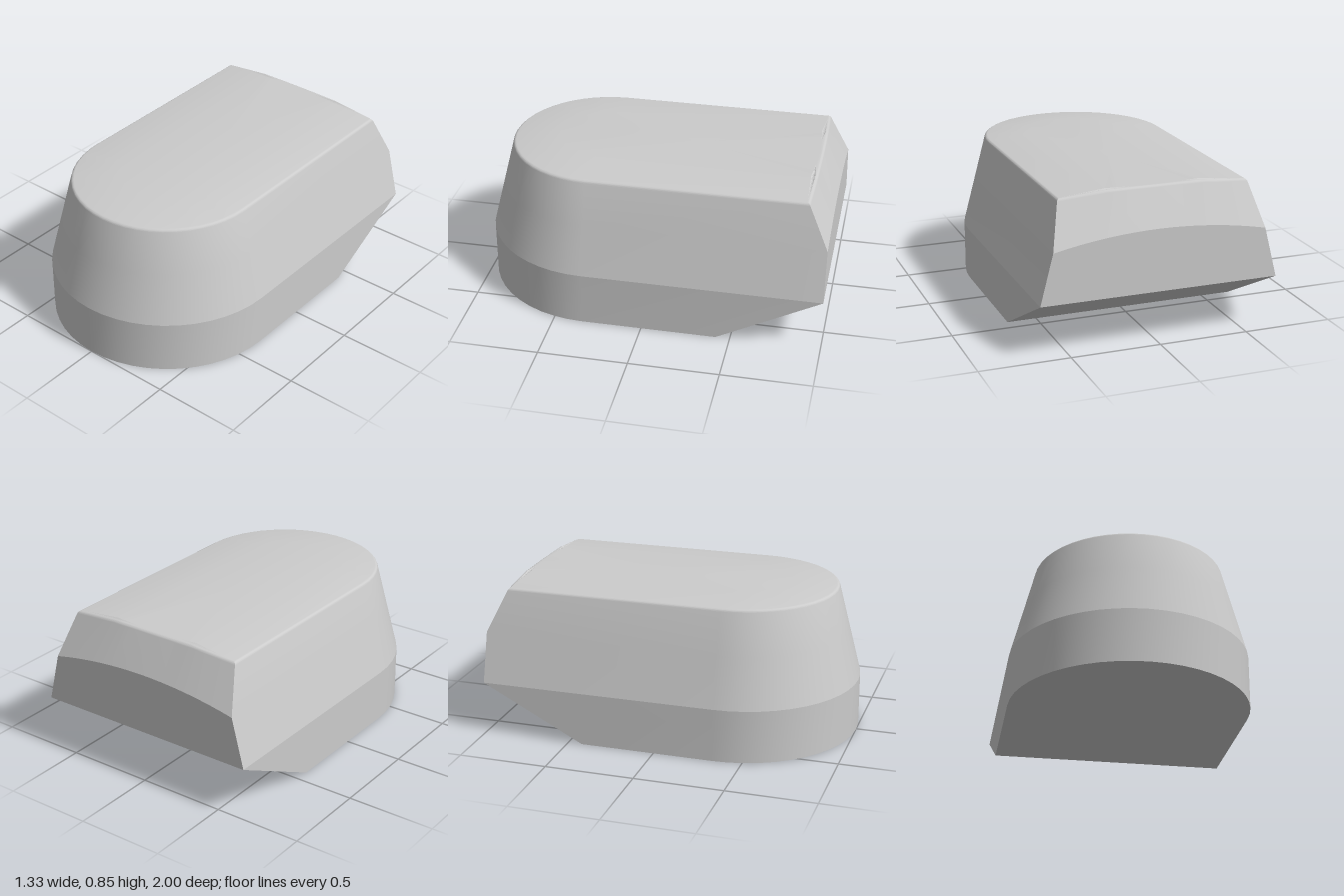
import * as THREE from 'three';
import { toCreasedNormals } from 'three/addons/utils/BufferGeometryUtils.js';

const ARC = 24;      // segments round the nose
const BACK = 16;     // segments across the back edge
const NOSE_Z = 0.335; // centre of the rounded nose

// U-shaped outline: half-round nose, straight sides, crowned back edge.
// rise(t) and push(t) lift and shift the back edge, t running -1..1 across it.
function outline({ w, y, back, rise = () => 0, push = () => 0 }) {
  const pts = [];
  for (let i = 0; i <= ARC; i++) {
    const a = (Math.PI * i) / ARC;
    pts.push([w * Math.cos(a), y, NOSE_Z + w * Math.sin(a)]);
  }
  for (let i = 0; i <= BACK; i++) {
    const t = -1 + (2 * i) / BACK;
    pts.push([w * t, y + rise(t), back - push(t)]);
  }
  return pts;
}

// Skin consecutive rings and close both ends with a fan
function loft(rings, bottomCentre, topCentre) {
  const pos = [];
  const tri = (a, b, c) => pos.push(...a, ...b, ...c);
  const n = rings[0].length;
  const last = rings[rings.length - 1];
  for (let i = 0; i < n; i++) {
    const j = (i + 1) % n;
    for (let r = 0; r < rings.length - 1; r++) {
      const [lo, hi] = [rings[r], rings[r + 1]];
      tri(lo[i], hi[i], lo[j]);
      tri(lo[j], hi[i], hi[j]);
    }
    tri(bottomCentre, rings[0][i], rings[0][j]);
    tri(topCentre, last[j], last[i]);
  }
  const geo = new THREE.BufferGeometry();
  geo.setAttribute('position', new THREE.Float32BufferAttribute(pos, 3));
  return toCreasedNormals(geo, THREE.MathUtils.degToRad(12));
}

export function createModel() {
  const topCrown = (t) => 0.022 * Math.min(1, 2 * (1 - Math.abs(t)));
  const bow = (t) => 0.015 * (1 - t * t);
  const { lerp, degToRad } = THREE.MathUtils;

  const rings = [
    { w: 0.665, y: 0, back: -0.42 },  // base, cut short by the sloping underside
    { w: 0.665, y: 0.3, back: -1 },   // top of the upright skirt
    { w: 0.593, y: 0.58, back: -1, rise: (t) => 0.065 * (1 - t * t) }, // start of back chamfer
  ];

  // Small rounded edge between the tapering walls and the top
  const STEPS = 7, R = 0.02;
  for (let i = 0; i <= STEPS; i++) {
    const side = degToRad(lerp(14.4, 85, i / STEPS));
    const rear = degToRad(lerp(25, 88, i / STEPS));
    rings.push({
      w: 0.514 + R * Math.cos(side),
      y: 0.808 + R * Math.sin(side),
      back: -0.872 - R * Math.cos(rear),
      rise: topCrown,
      push: bow,
    });
  }

  // Flat centre of the crowned top
  rings.push({ w: 0.265, y: 0.85, back: -0.862, push: bow });

  const body = new THREE.Mesh(
    loft(rings.map(outline), [0, 0, 0.1], [0, 0.85, -0.2]),
    new THREE.MeshStandardMaterial({ color: 0xcccccc })
  );
  body.name = 'body';

  const group = new THREE.Group();
  group.name = 'roundNosedBlock';
  group.add(body);
  return group;
}
